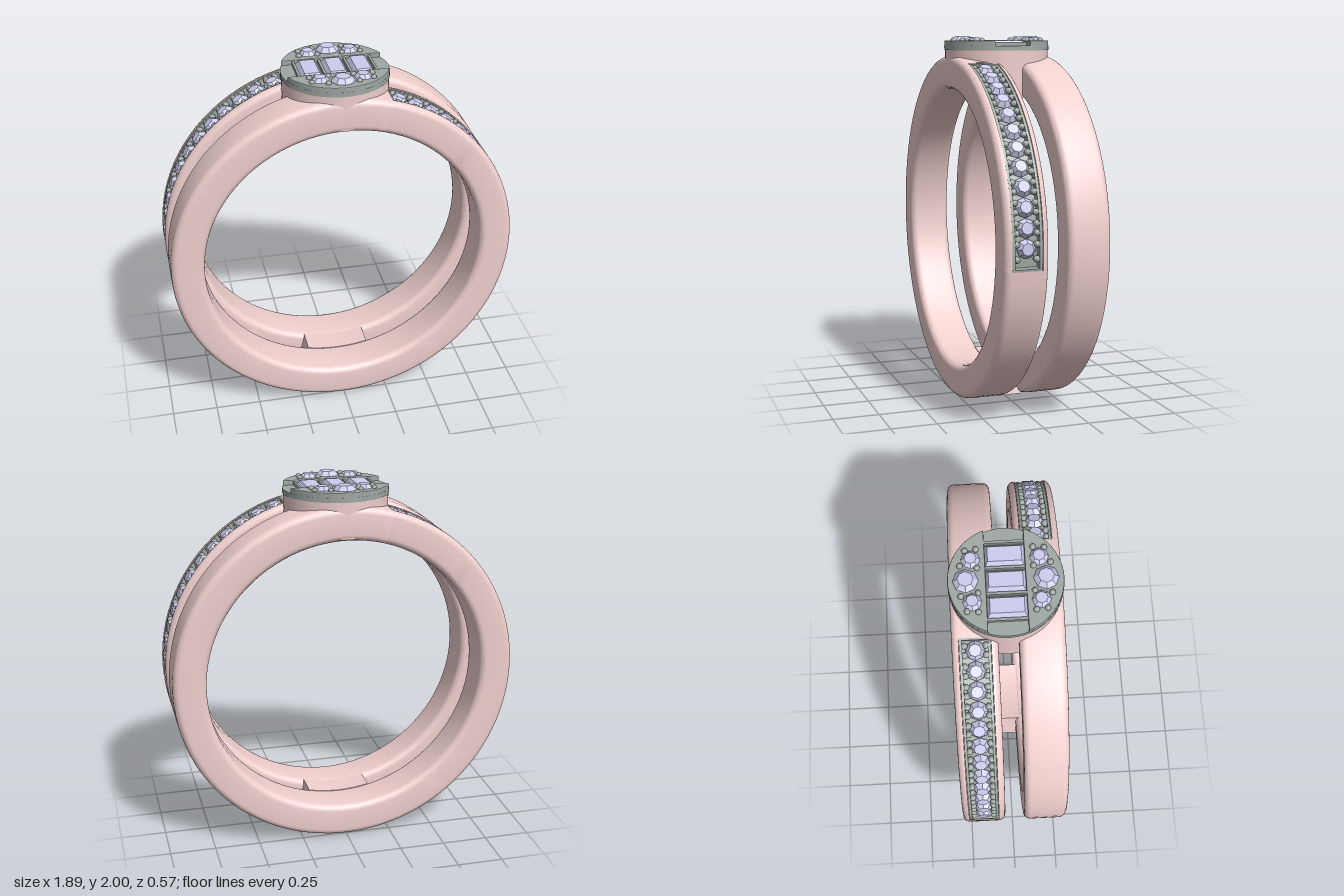
import * as THREE from 'three';
import { toCreasedNormals } from 'three/addons/utils/BufferGeometryUtils.js';

const rose = new THREE.MeshStandardMaterial({ color: 0xf0d0ce });
const silver = new THREE.MeshStandardMaterial({ color: 0x9fa8a3 });
const gemMat = new THREE.MeshStandardMaterial({ color: 0xccccee, flatShading: true });

const CY = 0.95, R_IN = 0.765, R_OUT = 0.945; // ring centre height and radii
const BAND_Z = 0.166, BAND_HALF = 0.115;
const A0 = -0.086, A1 = 1.3;                  // gem channel, angles from +x
const CH = 0.078;                             // channel half width

function add(parent, name, geo, mat, x = 0, y = 0, z = 0) {
  const m = new THREE.Mesh(geo, mat);
  m.name = name;
  m.position.set(x, y, z);
  parent.add(m);
  return m;
}

// Sweep a closed [radius, z] profile around the ring axis from angle a to b
function sweep(profile, a, b) {
  const pts = [...profile, profile[0]].map(p => new THREE.Vector2(p[0], p[1]));
  const seg = Math.ceil((b - a) * 15);
  const geo = new THREE.LatheGeometry(pts, seg, a + Math.PI / 2, b - a);
  return toCreasedNormals(geo.rotateX(Math.PI / 2), 0.6);
}

// Band section with rounded corners, optionally grooved on the outside
function bandProfile(grooved) {
  const pts = [], r = 0.035;
  const corner = (cx, cy, start) => {
    for (let i = 0; i <= 5; i++) {
      const t = start + (i / 5) * Math.PI / 2;
      pts.push([cx + r * Math.cos(t), cy + r * Math.sin(t)]);
    }
  };
  const k = BAND_HALF - r;
  corner(R_IN + r, -k, Math.PI);
  corner(R_OUT - r, -k, Math.PI * 1.5);
  if (grooved) pts.push([0.885, -CH], [0.885, CH]);
  corner(R_OUT - r, k, 0);
  corner(R_IN + r, k, Math.PI / 2);
  return pts;
}

// Faceted round stone, table facing up
function roundGem(r, h) {
  const p = [[0, -0.7 * r], [r, 0], [r, 0.15 * h], [0.62 * r, h], [0, h]];
  return new THREE.LatheGeometry(p.map(q => new THREE.Vector2(...q)), 8);
}

// Rectangular stone with a stepped top
function baguette(w, h, d) {
  const geo = new THREE.BoxGeometry(w, h, d, 1, 2, 1);
  const pos = geo.attributes.position;
  for (let i = 0; i < pos.count; i++) {
    if (pos.getY(i) > 0.001) {
      pos.setX(i, pos.getX(i) * 0.7);
      pos.setZ(i, pos.getZ(i) * 0.86);
    }
  }
  return geo;
}

function buildBand() {
  const band = new THREE.Group();
  band.name = 'band';
  add(band, 'plainBand', sweep(bandProfile(false), A1, Math.PI * 2 + A0), rose);
  add(band, 'groovedBand', sweep(bandProfile(true), A0, A1), rose);

  // U-shaped metal lining and its end plates
  const t = 0.014, top = 0.94, floor = 0.9;
  add(band, 'channelLining', sweep([
    [0.88, -CH], [top, -CH], [top, t - CH], [floor, t - CH],
    [floor, CH - t], [top, CH - t], [top, CH], [0.88, CH]], A0, A1), silver);
  const plate = new THREE.BoxGeometry(0.06, 0.02, CH * 2 + 0.006);
  for (const a of [A0, A1]) {
    const m = add(band, 'channelEnd', plate, silver, 0.911 * Math.cos(a), 0.911 * Math.sin(a), 0);
    m.rotation.z = a;
  }

  // Row of round stones with pairs of beads between them
  const n = 12, first = 0.03, step = (1.235 - first) / (n - 1);
  const gem = roundGem(0.05, 0.03), bead = new THREE.SphereGeometry(0.018, 10, 8);
  const place = (name, geo, mat, a, r, z) => {
    const m = add(band, name, geo, mat, r * Math.cos(a), r * Math.sin(a), z);
    m.rotation.z = a - Math.PI / 2;
  };
  for (let i = 0; i < n; i++) {
    const a = first + i * step;
    place('bandGem', gem, gemMat, a, 0.915, 0);
    for (const s of [-1, 1]) for (const d of [-0.27, 0.27])
      place('bandBead', bead, silver, a + (d + 0.5) * step, 0.925, s * 0.054);
  }
  for (const s of [-1, 1]) place('bandBead', bead, silver, first - 0.055, 0.925, s * 0.052);
  band.position.set(0, CY, BAND_Z);
  return band;
}

function buildHead() {
  const head = new THREE.Group();
  head.name = 'head';

  // Hollow collar, its lower edge trimmed to the finger hole
  const prof = [[0.215, 0], [0.278, 0], [0.283, 1.93], [0.215, 1.93], [0.215, 0]];
  const collar = new THREE.LatheGeometry(prof.map(p => new THREE.Vector2(...p)), 48);
  const pos = collar.attributes.position;
  for (let i = 0; i < pos.count; i++) {
    if (pos.getY(i) < 1) pos.setY(i, CY + Math.sqrt(0.775 ** 2 - pos.getX(i) ** 2));
  }
  add(head, 'collar', toCreasedNormals(collar, 0.6), rose);
  add(head, 'headPlate', new THREE.CylinderGeometry(0.286, 0.286, 0.025, 48), silver, 0, 1.936, 0);

  // Three rectangular stones separated by bars
  const stone = baguette(0.112, 0.05, 0.195);
  for (const x of [-0.136, 0, 0.136]) add(head, 'baguetteGem', stone, gemMat, x, 1.951, 0);
  const bar = new THREE.BoxGeometry(0.014, 0.024, 0.2);
  for (const x of [-0.204, -0.068, 0.068, 0.204]) add(head, 'baguetteBar', bar, silver, x, 1.955, 0);

  // Raised half-moon seats with round stones and beads, front and back
  const R = 0.28, e = Math.asin(0.102 / R);
  const moon = new THREE.Shape();
  moon.absarc(0, 0, R, e, Math.PI - e, false);
  moon.closePath();
  const moonGeo = new THREE.ExtrudeGeometry(moon, {
    depth: 0.026, curveSegments: 32, bevelEnabled: true,
    bevelSize: 0.005, bevelThickness: 0.005, bevelSegments: 2,
  }).rotateX(-Math.PI / 2);
  const bead = new THREE.SphereGeometry(0.016, 10, 8);
  for (const side of [0, Math.PI]) {
    const g = new THREE.Group();
    g.name = 'gemSeat';
    g.rotation.y = side;
    add(g, 'halfMoon', moonGeo, silver, 0, 1.944, 0);
    add(g, 'largeGem', roundGem(0.063, 0.028), gemMat, 0, 1.972, -0.197);
    for (const s of [-1, 1]) {
      add(g, 'smallGem', roundGem(0.048, 0.024), gemMat, s * 0.112, 1.971, -0.168);
      for (const [x, z] of [[0.066, -0.138], [0.08, -0.222], [0.165, -0.14], [0.16, -0.195]])
        add(g, 'headBead', bead, silver, s * x, 1.975, z);
    }
    head.add(g);
  }
  return head;
}

export function createModel() {
  const model = new THREE.Group();
  model.name = 'ring';

  // Two matching bands, the rear one turned half way round
  const front = buildBand();
  front.name = 'frontBand';
  const back = buildBand();
  back.name = 'backBand';
  back.rotation.y = Math.PI;
  back.position.z = -BAND_Z;
  model.add(front, back);

  // Bridge joining the bands at the bottom
  const h = 0.23, mid = -Math.PI / 2;
  const arc = new THREE.Shape();
  arc.absarc(0, 0, 0.95, mid - h, mid + h, false);
  arc.absarc(0, 0, R_IN, mid + h, mid - h, true);
  arc.closePath();
  const bridge = new THREE.ExtrudeGeometry(arc, { depth: 0.14, bevelEnabled: false, curveSegments: 12 });
  add(model, 'bridge', toCreasedNormals(bridge, 0.6), rose, 0, CY, -0.07);

  model.add(buildHead());
  return model;
}
